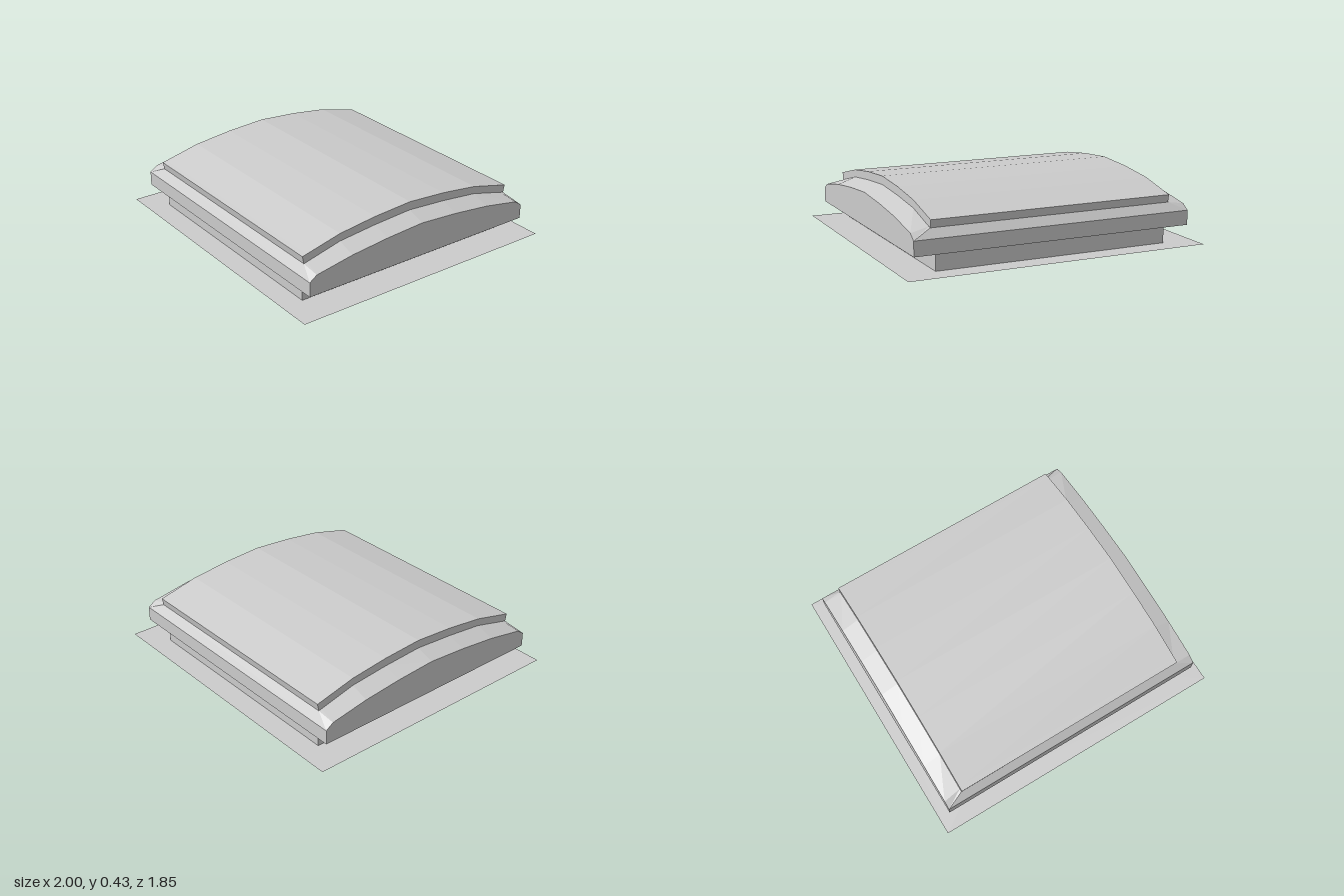
import * as THREE from 'three';

const material = new THREE.MeshStandardMaterial({
  color: 0xcccccc, flatShading: true, side: THREE.DoubleSide,
});

// Flat-shaded surface through rows of points with equal counts
function loft(name, ...grids) {
  const pos = [];
  for (const rows of grids) {
    for (let i = 0; i < rows.length - 1; i++) {
      for (let j = 0; j < rows[i].length - 1; j++) {
        const a = rows[i][j], b = rows[i + 1][j];
        const c = rows[i + 1][j + 1], d = rows[i][j + 1];
        pos.push(...a, ...b, ...c, ...a, ...c, ...d);
      }
    }
  }
  const geo = new THREE.BufferGeometry();
  geo.setAttribute('position', new THREE.Float32BufferAttribute(pos, 3));
  geo.computeVertexNormals();
  const mesh = new THREE.Mesh(geo, material);
  mesh.name = name;
  return mesh;
}

// Closed rectangular loop at height y
function ring(x, z, y, cx = 0) {
  return [[1, -1], [1, 1], [-1, 1], [-1, -1], [1, -1]].map(([sx, sz]) => [cx + sx * x, y, sz * z]);
}

// Row running front to back at x, mirrored about z = 0 from [z, y] pairs
function arch(x, half) {
  const back = half.slice(0, -1).reverse().map(([z, y]) => [-z, y]);
  return [...half, ...back].map(([z, y]) => [x, y, z]);
}

// Front and back panels joining the ends of left-hand rows to their mirror images
function endPanels(leftRows) {
  const flip = ([x, y, z]) => [-x, y, z];
  return [
    leftRows.map((r) => [flip(r[0]), r[0]]),
    leftRows.map((r) => [r.at(-1), flip(r.at(-1))]),
  ];
}

export function createModel() {
  const group = new THREE.Group();
  group.name = 'skylight';

  // Flat flange and upright curb, open in the middle
  const curbBottom = ring(0.782, 0.78, 0, -0.007);
  const curbTop = ring(0.782, 0.78, 0.115, -0.007);
  group.add(loft('flange', [ring(1, 0.923, 0), curbBottom]));
  group.add(loft('curb', [curbBottom, curbTop]));
  group.add(loft('frameUnderside', [curbTop, ring(0.93, 0.835, 0.115)]));

  // Arched profiles of the lid, from front edge to the middle
  const outer = [[0.835, 0.21], [0.785, 0.245], [0.53, 0.29], [0.27, 0.318], [0, 0.336]];
  const inner = [[0.79, 0.265], [0.77, 0.27], [0.53, 0.33], [0.27, 0.357], [0, 0.375]];
  const crown = [[0.8, 0.315], [0.77, 0.322], [0.53, 0.38], [0.27, 0.412], [0, 0.43]];
  const base = outer.map(([z]) => [z, 0.115]);

  // Frame: skirt and sloping rim
  const frame = (s) => [arch(s * 0.93, base), arch(s * 0.93, outer), arch(s * 0.81, inner)];
  group.add(loft('frame', frame(-1), frame(1).reverse(), ...endPanels(frame(-1))));

  // Dome: raised curved pane with a short upright edge
  const dome = (s) => [arch(s * 0.81, inner), arch(s * 0.81, crown)];
  group.add(loft('dome', [...dome(-1), ...dome(1).reverse()], ...endPanels(dome(-1))));

  return group;
}
